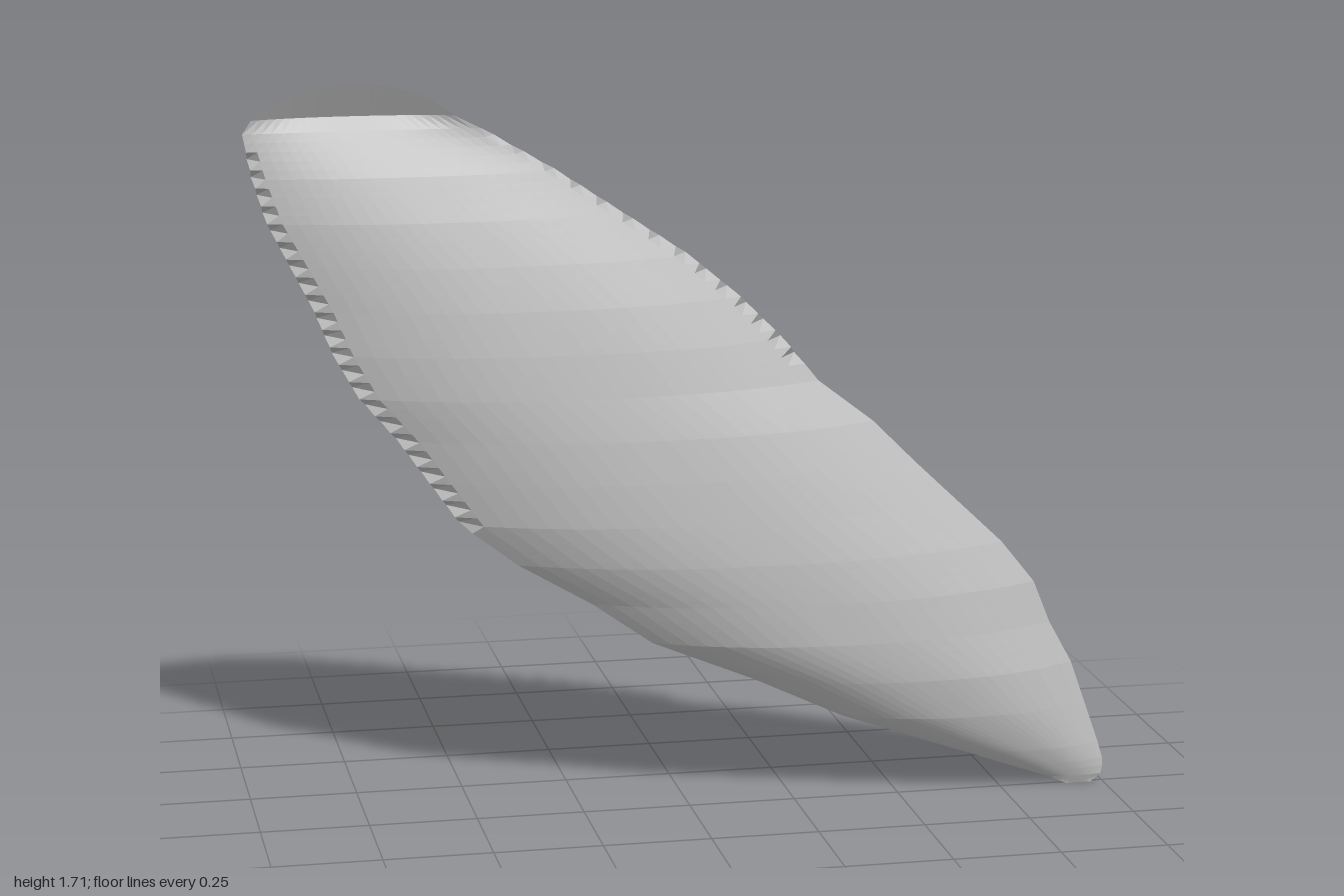
import * as THREE from 'three';

// Cross-sections: y, left edge x, right edge x, front bulge z, back bulge z
const SECTIONS = [
  [0, 0.91, 0.97, 0.01, 0.0], [0.02, 0.865, 0.995, 0.02, -0.004],
  [0.05, 0.78, 1.0, 0.033, -0.008], [0.1, 0.64, 0.985, 0.053, -0.016],
  [0.2, 0.36, 0.95, 0.087, -0.03], [0.3, 0.15, 0.915, 0.11, -0.042],
  [0.4, -0.09, 0.86, 0.122, -0.046], [0.5, -0.23, 0.82, 0.127, -0.048],
  [0.6, -0.4, 0.74, 0.13, -0.05], [0.7, -0.53, 0.635, 0.128, -0.053],
  [0.8, -0.6, 0.53, 0.125, -0.057], [0.9, -0.67, 0.43, 0.12, -0.063],
  [1.0, -0.755, 0.3, 0.11, -0.071], [1.1, -0.81, 0.22, 0.102, -0.08],
  [1.2, -0.85, 0.12, 0.09, -0.09], [1.3, -0.9, 0.0, 0.072, -0.1],
  [1.4, -0.95, -0.15, 0.05, -0.112], [1.5, -0.98, -0.3, 0.02, -0.124],
  [1.6, -1.0, -0.47, -0.025, -0.126], [1.63, -0.98, -0.53, -0.05, -0.118],
];
const COLS = 24, STEP = 0.02, TOP = 1.63;
const lerp = THREE.MathUtils.lerp;

function sectionAt(y) {
  let i = 1;
  while (i < SECTIONS.length - 1 && SECTIONS[i][0] < y) i++;
  const a = SECTIONS[i - 1], b = SECTIONS[i];
  const t = (y - a[0]) / (b[0] - a[0]);
  return a.map((v, k) => lerp(v, b[k], t));
}

const columns = (fn) => Array.from({ length: COLS + 1 }, (_, c) => fn(c / COLS * 2 - 1));
const rimZ = (y) => lerp(0.01, -0.018, THREE.MathUtils.smoothstep(y, 0.7, TOP));

// One row of the front or back sheet; odd rows notch the serrated rims
function sheetRow(index, y, front) {
  const [, left, right, zFront, zBack] = sectionAt(y);
  const power = front ? 2.4 : lerp(2.4, 4.5, y / TOP);
  return columns((s) => {
    const toothed = s < 0 ? y > 0.7 && y < 1.56 : y > 1.04 && y < 1.62;
    const notch = Math.abs(s) === 1 && toothed && index % 2 ? 0.04 : 0;
    const rim = rimZ(y) - notch;
    const z = lerp(rim, front ? zFront : zBack, 1 - Math.abs(s) ** power);
    return [lerp(left, right, (s + 1) / 2), y, z];
  });
}

// Rows curling up and forward into the lip
function lipRow(rise, z) {
  const [, left, right] = sectionAt(TOP);
  return columns((s) => {
    const arch = 1 - Math.abs(s) ** 2.5;
    return [lerp(left, right, (s + 1) / 2), TOP + rise * arch, lerp(rimZ(TOP), z, arch)];
  });
}

function sheet(name, rows, flip, material) {
  const index = [];
  for (let r = 0; r < rows.length - 1; r++) {
    for (let c = 0; c < COLS; c++) {
      const a = r * (COLS + 1) + c, b = a + 1, d = a + COLS + 1, e = d + 1;
      index.push(...(flip ? [a, e, b, a, d, e] : [a, b, e, a, e, d]));
    }
  }
  const geometry = new THREE.BufferGeometry();
  geometry.setAttribute('position', new THREE.Float32BufferAttribute(rows.flat(2), 3));
  geometry.setIndex(index);
  const faceted = geometry.toNonIndexed();
  faceted.computeVertexNormals();
  const mesh = new THREE.Mesh(faceted, material);
  mesh.name = name;
  return mesh;
}

export function createModel() {
  const group = new THREE.Group();
  group.name = 'serratedPod';
  const grey = new THREE.MeshStandardMaterial({ color: 0xc0c0c0, flatShading: true, side: THREE.DoubleSide });
  grey.name = 'grey';

  const heights = [];
  for (let y = 0; y < TOP - 0.015; y += STEP) heights.push(y);
  heights.push(TOP);
  const front = heights.map((y, i) => sheetRow(i, y, true));
  const back = heights.map((y, i) => sheetRow(i, y, false));
  const lipEdge = lipRow(0.075, 0);

  group.add(
    sheet('frontShell', front, false, grey),
    sheet('backShell', back, true, grey),
    // Overhanging lip: outer curl and underside
    sheet('lipOuter', [back.at(-1), lipRow(0.03, -0.1), lipRow(0.058, -0.06), lipEdge], true, grey),
    sheet('lipUnderside', [front.at(-1), lipEdge], false, grey),
  );
  return group;
}
